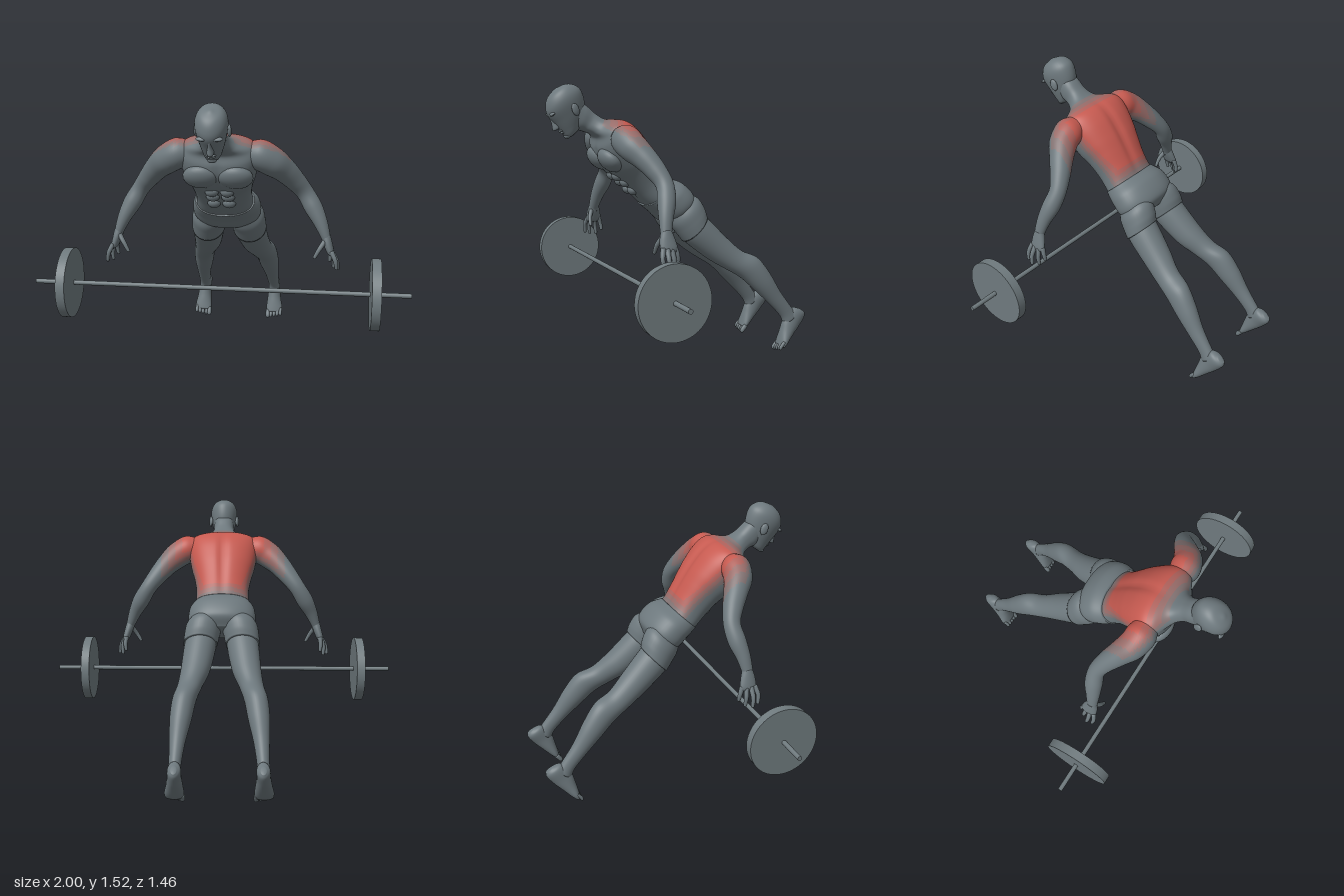
import * as THREE from 'three';

const V = (x, y, z) => new THREE.Vector3(x, y, z);
const mat = (name, color) => {
  const m = new THREE.MeshStandardMaterial({ color });
  m.name = name;
  return m;
};

// Section from a back and a front point, each [z, y], with centre x and half width w
const pair = (back, front, x, w) => ({
  c: V(x, (back[1] + front[1]) / 2, (back[0] + front[0]) / 2),
  a: V(w, 0, 0),
  b: V(0, (front[1] - back[1]) / 2, (front[0] - back[0]) / 2),
});

// Round sections along a list of [x, y, z, radius, flatRadius]
function limb(points) {
  return points.map(([x, y, z, r, r2 = r], i) => {
    const p = points[Math.max(i - 1, 0)], n = points[Math.min(i + 1, points.length - 1)];
    const t = V(n[0] - p[0], n[1] - p[1], n[2] - p[2]).normalize();
    const a = V(1, 0, 0).addScaledVector(t, -t.x).normalize();
    return { c: V(x, y, z), a: a.clone().multiplyScalar(r2), b: t.cross(a).multiplyScalar(r) };
  });
}

// Smooth closed skin through sections; tone(point) picks a material index per face
function loft(sections, { n = 28, rows = 36, power = 1, bend, tone } = {}) {
  const curve = (k) => new THREE.CatmullRomCurve3(sections.map((s) => s[k]), false, 'catmullrom', 0.5);
  const [C, A, B] = [curve('c'), curve('a'), curve('b')];
  const pw = (v) => Math.sign(v) * Math.abs(v) ** power;
  const pts = [];
  for (let i = 0; i <= rows; i++) {
    const t = i / rows, c = C.getPoint(t), a = A.getPoint(t), b = B.getPoint(t);
    for (let j = 0; j < n; j++) {
      const g = (j / n) * Math.PI * 2;
      const p = c.clone().addScaledVector(a, pw(Math.cos(g))).addScaledVector(b, pw(Math.sin(g)));
      if (bend) bend(p, t, Math.sin(g), b);
      pts.push(p);
    }
  }
  pts.push(C.getPoint(0), C.getPoint(1));
  const faces = [], end = rows * n;
  for (let j = 0; j < n; j++) {
    const k = (j + 1) % n;
    for (let i = 0; i < end; i += n) faces.push([i + j, i + k, i + n + j], [i + k, i + n + k, i + n + j]);
    faces.push([pts.length - 2, k, j], [pts.length - 1, end + j, end + k]);
  }
  // Turn all faces outwards
  let volume = 0;
  for (const f of faces) volume += pts[f[0]].clone().cross(pts[f[1]]).dot(pts[f[2]]);
  if (volume < 0) faces.forEach((f) => f.reverse());
  const groups = [[], [], [], [], []];
  for (const f of faces) {
    const mid = pts[f[0]].clone().add(pts[f[1]]).add(pts[f[2]]).divideScalar(3);
    groups[tone ? tone(mid) : 0].push(...f);
  }
  const geo = new THREE.BufferGeometry().setFromPoints(pts);
  geo.setIndex(groups.flat());
  let start = 0;
  groups.forEach((g, i) => {
    if (tone && g.length) geo.addGroup(start, g.length, i);
    start += g.length;
  });
  geo.computeVertexNormals();
  return geo;
}

// Strength of the red area on the upper back, in five steps
function backTone(p) {
  const along = p.z * 0.715 + p.y * 0.7, out = (p.y - p.z) * 0.7;
  const r = Math.min((along - 0.745) / 0.09, (1.245 - along) / 0.09, (out - 0.595) / 0.08, (0.36 - Math.abs(p.x)) / 0.16);
  return r <= 0 ? 0 : Math.min(4, 1 + Math.floor(r * 4));
}

export function createModel() {
  const model = new THREE.Group();
  const skin = mat('body grey', 0x6d787d), metal = mat('barbell grey', 0x6f7a7e);
  const tones = [skin, mat('faint red', 0x827272), mat('soft red', 0x986c69), mat('medium red', 0xb0625c), mat('back red', 0xc65a50)];
  const add = (name, geo, material = skin, parent = model) => {
    const m = new THREE.Mesh(geo, material);
    m.name = name;
    parent.add(m);
    return m;
  };
  const ball = (name, pos, size, tilt = 0) => {
    const m = add(name, new THREE.SphereGeometry(1, 24, 16));
    m.position.set(...pos);
    m.scale.set(...size);
    m.rotation.x = tilt;
    return m;
  };

  // Torso and neck, with a groove along the spine
  add('torso', loft([
    pair([0.0, 0.97], [0.14, 0.83], 0, 0.165),
    pair([0.054, 1.0], [0.2, 0.872], 0, 0.153),
    pair([0.1, 1.075], [0.26, 0.93], 0, 0.15),
    pair([0.147, 1.155], [0.325, 0.995], 0, 0.165),
    pair([0.19, 1.22], [0.39, 1.045], 0, 0.185),
    pair([0.25, 1.29], [0.445, 1.115], 0, 0.2),
    pair([0.31, 1.33], [0.465, 1.18], 0, 0.2),
    pair([0.37, 1.338], [0.465, 1.235], 0, 0.17),
    pair([0.42, 1.34], [0.495, 1.26], 0, 0.095),
    pair([0.47, 1.37], [0.535, 1.275], 0, 0.063),
    pair([0.515, 1.41], [0.575, 1.29], 0, 0.06),
    pair([0.56, 1.44], [0.62, 1.34], 0, 0.055),
  ], {
    n: 96, rows: 100, power: 0.85, tone: backTone,
    bend: (p, t, s, b) => {
      const groove = Math.exp(-((p.x / 0.025) ** 2)) * Math.sin(Math.PI * Math.min(1, t / 0.7));
      p.addScaledVector(b, -Math.sign(s) * 0.09 * groove * Math.abs(s));
    },
  }), tones);

  // Shorts
  add('shortsHips', loft([
    pair([-0.075, 0.84], [0.03, 0.76], 0, 0.1),
    pair([-0.085, 0.915], [0.09, 0.77], 0, 0.18),
    pair([-0.02, 0.985], [0.145, 0.82], 0, 0.185),
    pair([0.054, 1.008], [0.203, 0.866], 0, 0.16),
  ], { n: 48, power: 0.9 }));

  // Head, built along the tilted face
  const face = (f, u) => [0.62 + 0.8 * f + 0.6 * u, 1.41 - 0.6 * f + 0.8 * u];
  const headRows = [[-0.142, 0.05, 0.085, 0.012], [-0.13, 0.01, 0.104, 0.038], [-0.09, -0.05, 0.108, 0.056],
    [-0.04, -0.09, 0.11, 0.07], [0.02, -0.11, 0.112, 0.08], [0.06, -0.098, 0.093, 0.074],
    [0.09, -0.066, 0.058, 0.052], [0.105, -0.012, 0.005, 0.008]];
  add('head', loft(headRows.map(([u, back, front, w]) => pair(face(back, u), face(front, u), 0, w)), { n: 40, rows: 48 }));
  const onFace = (x, f, u) => { const [z, y] = face(f, u); return [x, y, z]; };
  const tilt = 0.64;
  add('nose', loft([[0.01, 0.1, 0.112, 0.007], [-0.025, 0.09, 0.122, 0.011], [-0.058, 0.085, 0.138, 0.018], [-0.068, 0.09, 0.122, 0.012]]
    .map(([u, k, f, w]) => pair(face(k, u), face(f, u), 0, w)), { n: 16, rows: 16 }));
  ball('upperLip', onFace(0, 0.105, -0.084), [0.024, 0.006, 0.012], tilt);
  ball('lowerLip', onFace(0, 0.103, -0.097), [0.021, 0.007, 0.012], tilt);
  ball('chin', onFace(0, 0.092, -0.125), [0.026, 0.017, 0.02], tilt);

  for (const s of [1, -1]) {
    const side = s > 0 ? 'left' : 'right';
    const mirror = (rows) => rows.map(([x, ...r]) => [x * s, ...r]);
    ball(side + 'Brow', onFace(s * 0.035, 0.096, 0.018), [0.03, 0.009, 0.014], tilt);
    ball(side + 'Ear', onFace(s * 0.08, -0.008, -0.03), [0.011, 0.033, 0.021], tilt - 0.3).rotation.y = s * 0.25;

    // Chest and stomach muscles
    ball(side + 'Chest', [s * 0.088, 1.125, 0.415], [0.092, 0.075, 0.05], 0.75);
    [[0.955, 0.27], [1.0, 0.315], [1.035, 0.36]].forEach(([y, z], i) =>
      ball(side + 'Stomach' + i, [s * 0.04, y, z], [0.036, 0.03, 0.026], 0.78));

    // Arm
    add(side + 'Arm', loft(limb(mirror([
      [0.12, 1.245, 0.365, 0.06], [0.2, 1.238, 0.37, 0.078], [0.27, 1.2, 0.355, 0.076], [0.33, 1.148, 0.315, 0.064],
      [0.385, 1.085, 0.275, 0.054], [0.435, 1.02, 0.25, 0.046], [0.48, 0.945, 0.26, 0.048],
      [0.52, 0.87, 0.28, 0.038, 0.037], [0.548, 0.8, 0.292, 0.03, 0.026], [0.555, 0.775, 0.292, 0.028, 0.024],
    ])), { n: 40, rows: 60, tone: backTone }), tones);

    // Hand with splayed fingers
    add(side + 'Palm', loft(limb(mirror([
      [0.548, 0.805, 0.292, 0.028, 0.025], [0.56, 0.765, 0.291, 0.04, 0.024],
      [0.575, 0.72, 0.288, 0.046, 0.02], [0.582, 0.702, 0.287, 0.036, 0.012],
    ])), { n: 24, rows: 20 }));
    const fingers = [
      [[0.545, 0.775, 0.31], [0.518, 0.735, 0.328], [0.495, 0.693, 0.333]],
      [[0.58, 0.725, 0.322], [0.602, 0.68, 0.334], [0.61, 0.636, 0.33]],
      [[0.583, 0.72, 0.3], [0.61, 0.67, 0.303], [0.618, 0.625, 0.298]],
      [[0.58, 0.72, 0.277], [0.596, 0.67, 0.27], [0.595, 0.625, 0.266]],
      [[0.572, 0.725, 0.255], [0.577, 0.685, 0.243], [0.573, 0.65, 0.238]],
    ];
    fingers.forEach(([p, q, r], i) => add(side + (i ? 'Finger' + i : 'Thumb'), loft(limb(mirror([
      [...p, 0.014], [...q, 0.012], [...r, 0.009], [...r.map((v, k) => v + (v - q[k]) * 0.15), 0.003],
    ])), { n: 12, rows: 14 })));

    // Shorts leg, closed by a cuff
    add(side + 'ShortsLeg', loft([
      pair([-0.03, 0.93], [0.09, 0.8], s * 0.09, 0.075),
      pair([-0.085, 0.905], [0.07, 0.755], s * 0.1, 0.098),
      pair([-0.118, 0.855], [0.04, 0.715], s * 0.11, 0.098),
      pair([-0.132, 0.807], [0.003, 0.666], s * 0.118, 0.094),
    ], { n: 36, rows: 24 }));

    // Leg
    add(side + 'Leg', loft([
      pair([-0.1, 0.83], [0.02, 0.7], s * 0.114, 0.085),
      pair([-0.145, 0.785], [-0.018, 0.655], s * 0.12, 0.088),
      pair([-0.25, 0.675], [-0.14, 0.56], s * 0.14, 0.079),
      pair([-0.335, 0.598], [-0.228, 0.505], s * 0.165, 0.066),
      pair([-0.425, 0.555], [-0.32, 0.448], s * 0.188, 0.063),
      pair([-0.495, 0.465], [-0.405, 0.37], s * 0.203, 0.057),
      pair([-0.56, 0.355], [-0.49, 0.288], s * 0.215, 0.042),
      pair([-0.628, 0.262], [-0.562, 0.21], s * 0.222, 0.033),
      pair([-0.665, 0.215], [-0.585, 0.16], s * 0.225, 0.034),
    ], { n: 36, rows: 60 }));

    // Foot standing on its toes
    add(side + 'Foot', loft([
      pair([-0.725, 0.212], [-0.69, 0.24], s * 0.222, 0.014),
      pair([-0.72, 0.185], [-0.635, 0.248], s * 0.222, 0.034),
      pair([-0.685, 0.138], [-0.585, 0.19], s * 0.225, 0.037),
      pair([-0.637, 0.087], [-0.566, 0.13], s * 0.227, 0.044),
      pair([-0.597, 0.046], [-0.553, 0.08], s * 0.23, 0.051),
      pair([-0.572, 0.024], [-0.545, 0.046], s * 0.23, 0.048),
    ], { n: 28, rows: 32 }));
    for (let i = 0; i < 5; i++) {
      const x = 0.19 + i * 0.02, y = 0.012 + i * 0.004, r = i ? 0.01 : 0.014;
      add(side + 'Toe' + i, loft(limb(mirror([
        [x, y + 0.035, -0.567, r], [x, y + 0.012, -0.547, r], [x, y, -0.541, r * 0.85], [x, y - 0.008, -0.539, r * 0.3],
      ])), { n: 12, rows: 14 }));
    }
  }

  // Barbell
  const barbell = new THREE.Group();
  barbell.name = 'barbell';
  barbell.position.set(0, 0.515, 0.37);
  add('bar', new THREE.CylinderGeometry(0.0125, 0.0125, 2, 24), metal, barbell).rotation.z = Math.PI / 2;
  for (const s of [1, -1]) {
    const plate = add(s > 0 ? 'leftPlate' : 'rightPlate', new THREE.CylinderGeometry(0.187, 0.187, 0.048, 64), metal, barbell);
    plate.rotation.z = Math.PI / 2;
    plate.position.x = s * 0.813;
  }
  model.add(barbell);
  return model;
}
